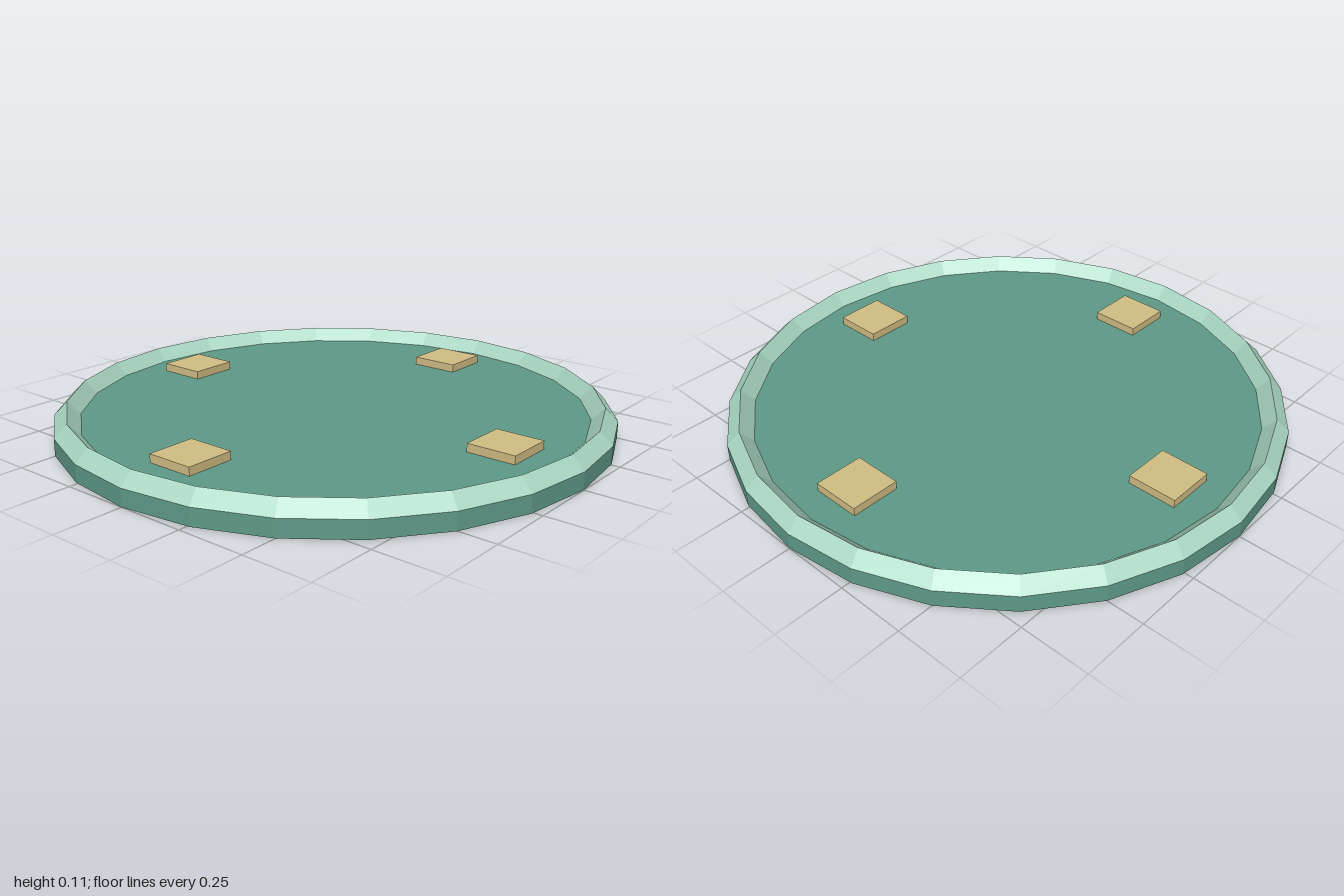
import * as THREE from 'three';

const SIDES = 24;
const FLOOR = 0.062;

function part(name, geometry, color) {
  const material = new THREE.MeshStandardMaterial({ color, flatShading: true });
  const mesh = new THREE.Mesh(geometry, material);
  mesh.name = name;
  return mesh;
}

export function createModel() {
  const model = new THREE.Group();
  model.name = 'roundPlatform';

  // Flat base disc
  const base = part('base', new THREE.CylinderGeometry(1, 1, FLOOR, SIDES), 0x5f9a88);
  base.position.y = FLOOR / 2;
  model.add(base);

  // Raised rim with a diamond section, its lower half sunk into the base
  const rim = part('rim', new THREE.TorusGeometry(0.954, 0.046, 4, SIDES), 0xa8d5c2);
  rim.rotation.x = -Math.PI / 2;
  rim.position.y = FLOOR;
  model.add(rim);

  // Four square pads, one per quarter turn
  const padHeight = 0.03;
  const padGeometry = new THREE.BoxGeometry(0.18, padHeight, 0.18);
  for (let i = 0; i < 4; i++) {
    const angle = (i * Math.PI) / 2;
    const pad = part('pad' + (i + 1), padGeometry, 0xd2be84);
    pad.position.set(0.715 * Math.cos(angle), FLOOR + padHeight / 2, 0.715 * Math.sin(angle));
    model.add(pad);
  }

  return model;
}
